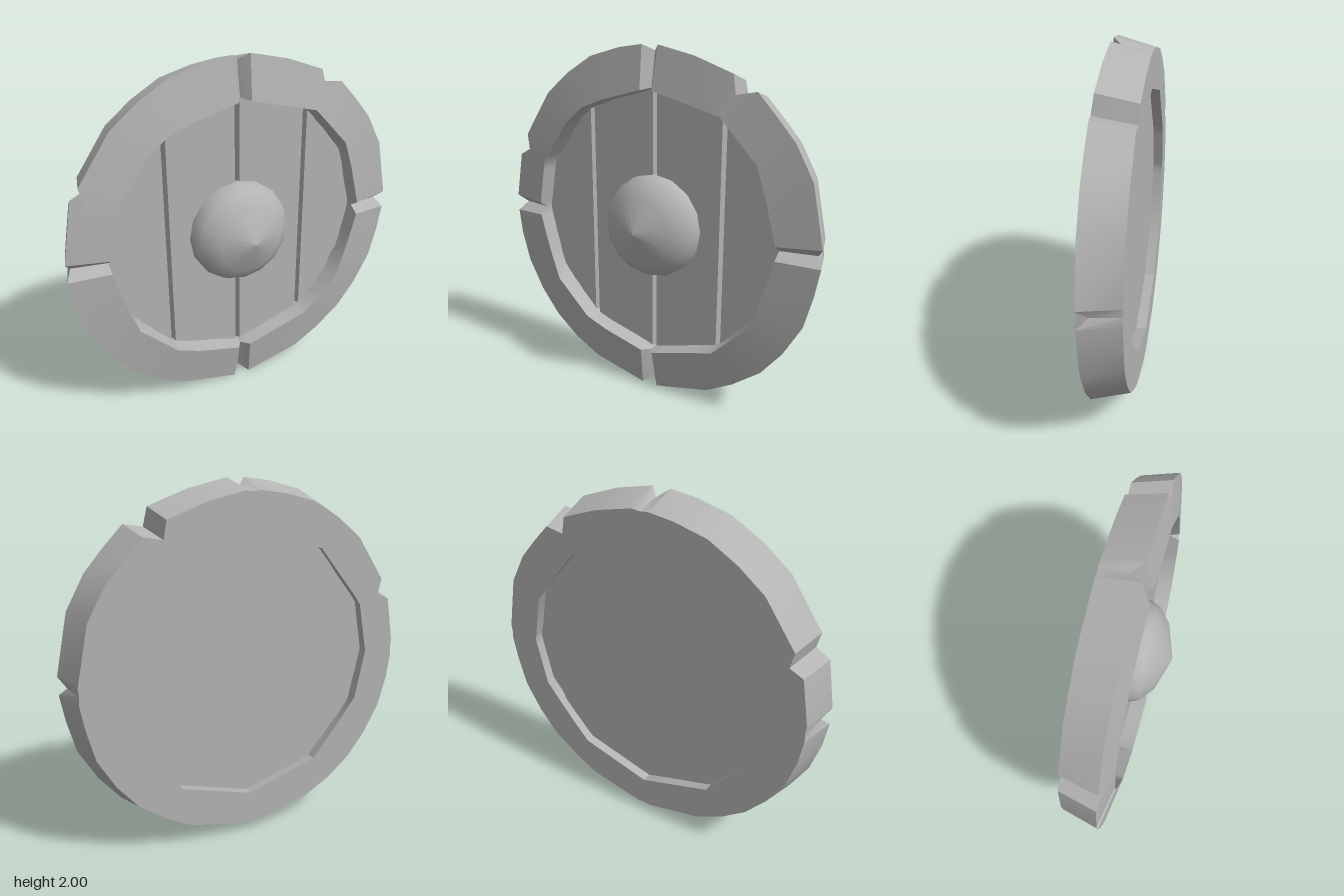
import * as THREE from 'three';
import { toCreasedNormals } from 'three/addons/utils/BufferGeometryUtils.js';

const BACK_Z = -0.19, BOARD_FRONT = -0.04, BOARD_BACK = -0.13, GROOVE_Z = -0.07;

// Outer rim outline, clockwise from the top: a third value marks the bottom of a V groove
const OUTER = [
  [0, 0.965, 1], [0.05, 1], [0.27, 0.95], [0.49, 0.87], [0.51, 0.77], [0.62, 0.79], [0.73, 0.675], [0.83, 0.56], [0.93, 0.38],
  [1, 0.05], [0.965, 0, 1], [1, -0.05], [0.975, -0.2], [0.93, -0.38], [0.83, -0.56], [0.71, -0.71], [0.55, -0.83], [0.39, -0.92],
  [0.05, -1], [0, -0.965, 1], [-0.05, -1], [-0.39, -0.92], [-0.56, -0.83], [-0.71, -0.71], [-0.83, -0.56], [-0.93, -0.38], [-0.98, -0.2],
  [-1, -0.05], [-0.965, 0, 1], [-1, 0.05], [-0.95, 0.32], [-0.87, 0.36], [-0.89, 0.45], [-0.71, 0.71], [-0.56, 0.83], [-0.39, 0.93], [-0.2, 0.98], [-0.05, 1],
];

// Inner edge of the rim on the front
const INNER_FRONT = [
  [0, 0.775], [0.44, 0.66], [0.65, 0.44], [0.7, 0.3], [0.77, 0.05], [0.77, -0.05], [0.66, -0.43], [0.44, -0.65], [0, -0.775],
  [-0.29, -0.7], [-0.43, -0.65], [-0.66, -0.43], [-0.7, -0.3], [-0.775, -0.05], [-0.775, 0.05], [-0.73, 0.3], [-0.55, 0.55], [-0.43, 0.65], [-0.29, 0.7],
];

// Coarser inner edge at the back, also the outline of the boards
const INNER_BACK = [0, 23, 56, 90, 124, 157, 180, 203, 236, 270, 304, 337].map((d) => {
  const a = THREE.MathUtils.degToRad(d);
  return [0.757 * Math.cos(a), 0.757 * Math.sin(a)];
});

// Point where the ray from the centre through (x, y) meets a polygon
function onPolygon(poly, x, y) {
  for (let i = 0; i < poly.length; i++) {
    const [ax, ay] = poly[i], [bx, by] = poly[(i + 1) % poly.length];
    const ex = bx - ax, ey = by - ay, den = x * ey - y * ex;
    if (Math.abs(den) < 1e-9) continue;
    const t = (ax * ey - ay * ex) / den, s = (ax * y - ay * x) / den;
    if (t > 0 && s >= -1e-6 && s <= 1 + 1e-6) return [x * t, y * t];
  }
  return [x, y];
}

function quad(out, a, b, c, d) {
  out.push(...a, ...b, ...c, ...a, ...c, ...d);
}

function toGeometry(positions, crease) {
  const g = new THREE.BufferGeometry();
  g.setAttribute('position', new THREE.Float32BufferAttribute(positions, 3));
  return toCreasedNormals(g, crease);
}

// Rim: a four-cornered cross-section carried round the outline
function rimGeometry() {
  const sections = OUTER.map(([x, y, groove]) => {
    const r = Math.hypot(x, y);
    const [ix, iy] = onPolygon(INNER_FRONT, x, y);
    const [bx, by] = onPolygon(INNER_BACK, x, y);
    const outerZ = groove ? -0.04 : 0.055 - 0.04 * (r - 0.77) / 0.23;
    const back = groove ? 0.975 : 0.945;
    return [
      [x, y, outerZ],
      [ix, iy, groove ? -0.005 : 0.055],
      [bx, by, BACK_Z],
      [x * back, y * back, BACK_Z],
    ];
  });
  const out = [];
  sections.forEach((p, i) => {
    const q = sections[(i + 1) % sections.length];
    for (let k = 0; k < 4; k++) {
      const m = (k + 1) % 4;
      quad(out, p[k], p[m], q[m], q[k]);
    }
  });
  return toGeometry(out, 0.5);
}

// Boards: vertical strips across the opening, V grooves in front, flat behind
function boardsGeometry() {
  const grow = 1.04;
  const rightHalf = INNER_BACK.slice(0, 4).map(([x, y]) => [x * grow, y * grow]);
  const halfHeight = (x) => {
    const ax = Math.abs(x);
    for (let i = 0; i < 3; i++) {
      const [x1, y1] = rightHalf[i], [x0, y0] = rightHalf[i + 1];
      if (ax >= x0 - 1e-6) return y0 + (y1 - y0) * Math.min(1, (ax - x0) / (x1 - x0));
    }
    return 0;
  };
  const columns = rightHalf.flatMap(([x]) => [[x, BOARD_FRONT], [-x, BOARD_FRONT]])
    .filter(([x]) => Math.abs(x) > 0.5);
  for (const g of [-0.425, 0, 0.425]) {
    columns.push([g - 0.014, BOARD_FRONT], [g, GROOVE_Z], [g + 0.014, BOARD_FRONT]);
  }
  columns.sort((a, b) => a[0] - b[0]);
  const out = [];
  for (let i = 0; i < columns.length - 1; i++) {
    const [x0, z0] = columns[i], [x1, z1] = columns[i + 1];
    const h0 = halfHeight(x0), h1 = halfHeight(x1);
    quad(out, [x0, -h0, z0], [x1, -h1, z1], [x1, h1, z1], [x0, h0, z0]);
    quad(out, [x1, -h1, BOARD_BACK], [x0, -h0, BOARD_BACK], [x0, h0, BOARD_BACK], [x1, h1, BOARD_BACK]);
  }
  return toGeometry(out, 0.5);
}

// Boss: a low dome in the middle
function bossGeometry() {
  const profile = [[0.295, -0.05], [0.295, 0], [0.27, 0.055], [0.19, 0.125], [0, 0.187]]
    .map(([r, h]) => new THREE.Vector2(r, h));
  return new THREE.LatheGeometry(profile, 16).rotateX(Math.PI / 2);
}

export function createModel() {
  const group = new THREE.Group();
  group.name = 'roundShield';
  const grey = new THREE.MeshStandardMaterial({ color: 0xb4b4b4 });
  grey.name = 'grey';
  const add = (name, geometry) => {
    const mesh = new THREE.Mesh(geometry, grey);
    mesh.name = name;
    mesh.position.y = 1;
    group.add(mesh);
  };
  add('rim', rimGeometry());
  add('boards', boardsGeometry());
  add('boss', bossGeometry());
  return group;
}
